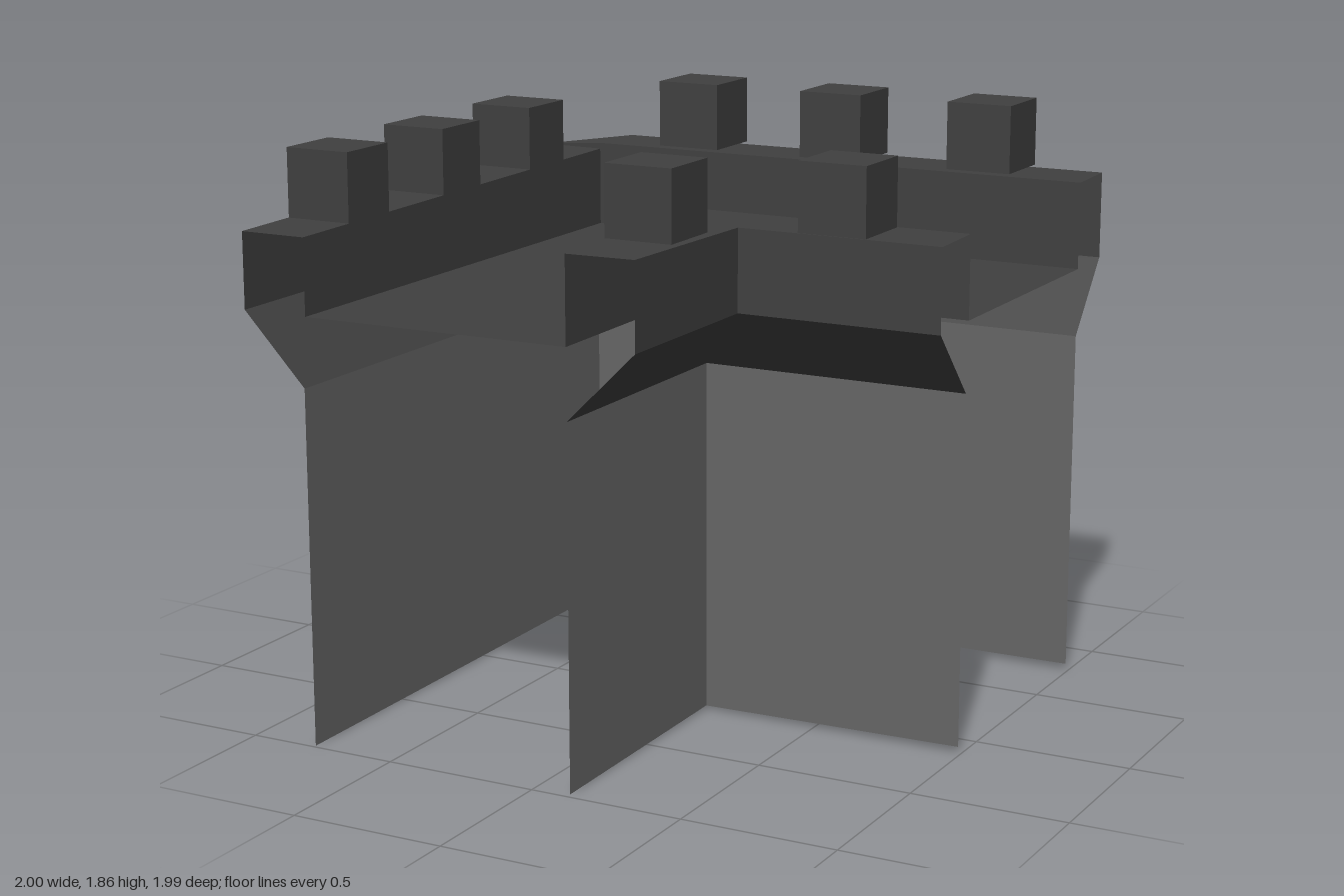
import * as THREE from 'three';

const stone = (color) => new THREE.MeshStandardMaterial({ color, flatShading: true, side: THREE.DoubleSide });
const wallMat = stone(0x666666);
const trimMat = stone(0x404040);

// Joins neighbouring rows of points with flat quads, skipping collapsed triangles
function loft(rows, name, material) {
  const pos = [];
  const same = (a, b) => a.every((v, i) => v === b[i]);
  const tri = (a, b, c) => {
    if (!same(a, b) && !same(b, c) && !same(a, c)) pos.push(...a, ...b, ...c);
  };
  for (let i = 0; i < rows.length - 1; i++) {
    for (let j = 0; j < rows[i].length - 1; j++) {
      const a = rows[i][j], b = rows[i + 1][j], c = rows[i + 1][j + 1], d = rows[i][j + 1];
      tri(a, b, c);
      tri(a, c, d);
    }
  }
  const geo = new THREE.BufferGeometry();
  geo.setAttribute('position', new THREE.Float32BufferAttribute(pos, 3));
  geo.computeVertexNormals();
  const mesh = new THREE.Mesh(geo, material);
  mesh.name = name;
  return mesh;
}

const FOOT = 1.13, FLOOR = 1.35;

// One side of the rampart: thin wall, flared corbel and hollow open-ended parapet.
// Each station gives [x, z] of the wall, outer lip and parapet inner face, plus base and top heights.
function rampart(name, stations) {
  const group = new THREE.Group();
  group.name = name;
  group.add(loft(stations.map(({ wall: [x, z], base }) => [[x, base, z], [x, FOOT, z]]), name + 'Wall', wallMat));
  group.add(loft(stations.map(({ wall, lip, inner, top }) => [
    [wall[0], FOOT, wall[1]],
    [lip[0], FLOOR, lip[1]],
    [lip[0], top, lip[1]],
    [inner[0], top, inner[1]],
    [inner[0], FLOOR, inner[1]],
  ]), name + 'Parapet', trimMat));
  return group;
}

// Battlement block, open underneath
function merlon(x, z, bottom) {
  const s = 0.22;
  const geo = new THREE.BoxGeometry(s, s, s).toNonIndexed();
  const keep = (attr) => {
    // drop the bottom face (fourth of the six box faces)
    const n = attr.itemSize, a = Array.from(attr.array);
    a.splice(18 * n, 6 * n);
    return new THREE.Float32BufferAttribute(a, n);
  };
  for (const key of ['position', 'normal', 'uv']) geo.setAttribute(key, keep(geo.attributes[key]));
  const mesh = new THREE.Mesh(geo, trimMat);
  mesh.name = 'merlon';
  mesh.position.set(x, bottom + s / 2, z);
  return mesh;
}

export function createModel() {
  const model = new THREE.Group();
  model.name = 'castleCorner';

  // Outer side, with the corbel and parapet chamfered around the corner
  model.add(rampart('outer', [
    { wall: [-0.78, 0.99], lip: [-0.99, 0.99], inner: [-0.77, 0.99], base: 0, top: 1.59 },
    { wall: [-0.78, -0.78], lip: [-1, -0.79], inner: [-0.77, -0.78], base: 0.01, top: 1.61 },
    { wall: [-0.78, -0.78], lip: [-0.76, -0.99], inner: [-0.77, -0.78], base: 0.01, top: 1.63 },
    { wall: [0.99, -0.78], lip: [0.98, -1], inner: [0.99, -0.78], base: 0.02, top: 1.63 },
  ]));

  // Inner side, with a square mitred corner
  model.add(rampart('inner', [
    { wall: [0.12, 0.98], lip: [0.34, 0.97], inner: [0.12, 0.98], base: 0, top: 1.62 },
    { wall: [0.12, 0.12], lip: [0.34, 0.34], inner: [0.11, 0.11], base: 0.01, top: 1.61 },
    { wall: [0.99, 0.12], lip: [1, 0.34], inner: [0.99, 0.11], base: 0.02, top: 1.61 },
  ]));

  // L-shaped walkway between the parapets
  model.add(loft([
    [[-0.77, FLOOR, 0.99], [0.12, FLOOR, 0.98]],
    [[-0.77, FLOOR, -0.78], [0.11, FLOOR, 0.11]],
    [[0.99, FLOOR, -0.78], [0.99, FLOOR, 0.11]],
  ], 'walkway', trimMat));

  // Battlements
  const battlements = new THREE.Group();
  battlements.name = 'battlements';
  for (const t of [-0.42, 0.11, 0.64]) {
    battlements.add(merlon(t, -0.88, 1.64));
    battlements.add(merlon(-0.88, t, 1.59));
  }
  battlements.add(merlon(0.225, 0.635, 1.625), merlon(0.645, 0.225, 1.605));
  model.add(battlements);

  return model;
}
